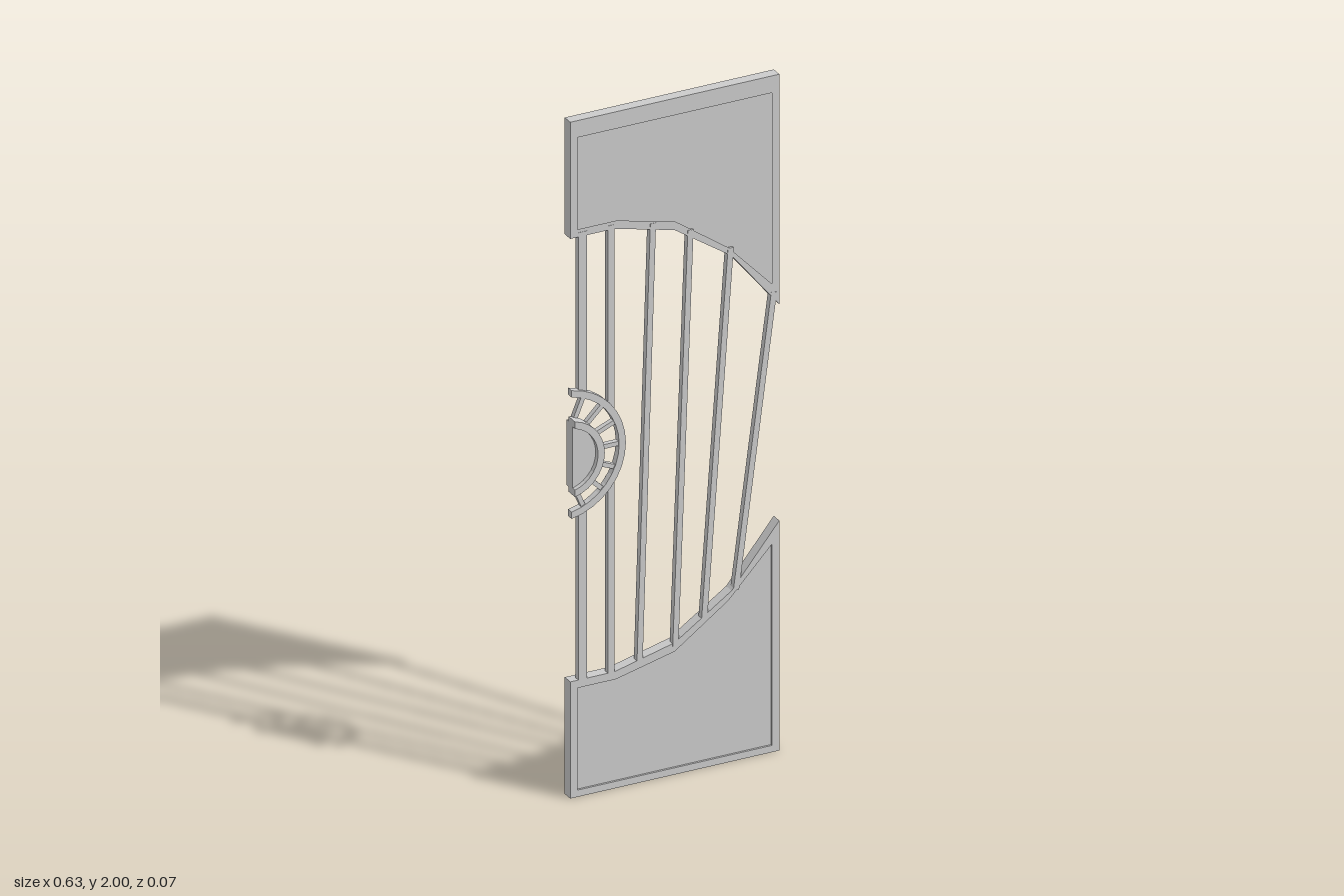
import * as THREE from 'three';

const material = new THREE.MeshStandardMaterial({ color: 0xcccccc, flatShading: true });
const HUB = { x: -0.342, y: 1.02 };
const EDGE = -0.312; // straight side the half-round fan is cut along

const points = (list) => list.map(([x, y]) => new THREE.Vector2(x, y));

// Extrude an outline, with optional holes, between two depths
function slab(name, outline, z0, z1, holes = []) {
  const shape = new THREE.Shape(points(outline));
  for (const hole of holes) shape.holes.push(new THREE.Path(points(hole)));
  const geometry = new THREE.ExtrudeGeometry(shape, { depth: z1 - z0, bevelEnabled: false });
  geometry.translate(0, 0, z0);
  const mesh = new THREE.Mesh(geometry, material);
  mesh.name = name;
  return mesh;
}

// Arc about the hub, ending where it meets the cut side
function arc(radius, cut, segments) {
  const end = Math.acos((cut - HUB.x) / radius);
  return Array.from({ length: segments + 1 }, (_, i) => {
    const a = -end + (2 * end * i) / segments;
    return [HUB.x + radius * Math.cos(a), HUB.y + radius * Math.sin(a)];
  });
}

const arcBand = (inner, outer, cut, segments) =>
  [...arc(outer, cut, segments), ...arc(inner, cut, segments).reverse()];

// Square bar between two points
function bar(name, [x0, y0], [x1, y1], width, z0, z1) {
  const length = Math.hypot(x1 - x0, y1 - y0);
  const mesh = new THREE.Mesh(new THREE.BoxGeometry(width, length, z1 - z0), material);
  mesh.position.set((x0 + x1) / 2, (y0 + y1) / 2, (z0 + z1) / 2);
  mesh.rotation.z = -Math.atan2(x1 - x0, y1 - y0);
  mesh.name = name;
  return mesh;
}

export function createModel() {
  const model = new THREE.Group();
  model.name = 'gatePanel';

  // Solid end panels: backing plate plus raised border
  const curve = [[0.312, 0.68], [0.17, 0.505], [0, 0.39], [-0.18, 0.345], [-0.312, 0.345]];
  const innerCurve = [[0.29, 0.615], [0.16, 0.478], [0, 0.364], [-0.175, 0.322], [-0.29, 0.322]];
  const outer = [[-0.312, 0], [0.312, 0], ...curve];
  const inner = (margin) => [[-0.29, margin], [0.29, margin], ...innerCurve];
  const flip = (list) => list.map(([x, y]) => [x, 2 - y]);
  model.add(
    slab('lowerPanel', outer, -0.035, -0.009),
    slab('lowerBorder', outer, -0.009, -0.003, [inner(0.02)]),
    slab('upperPanel', flip(outer), -0.035, -0.009),
    slab('upperBorder', flip(outer), -0.009, -0.003, [flip(inner(0.05))]),
  );

  // Upright bars, interrupted by the fan
  for (const [x, width, gap] of [[-0.275, 0.026, 0.172], [-0.19, 0.019, 0.1]]) {
    model.add(
      bar('lowerUpright', [x, 0.335], [x, HUB.y - gap], width, -0.02, -0.002),
      bar('upperUpright', [x, HUB.y + gap], [x, 1.668], width, -0.02, -0.002),
    );
  }

  // Slanting bars spreading towards the top
  const slants = [
    [-0.105, 0.352, -0.065, 1.645],
    [0.002, 0.38, 0.047, 1.6],
    [0.088, 0.44, 0.167, 1.52],
    [0.183, 0.505, 0.296, 1.36],
  ];
  for (const [x0, y0, x1, y1] of slants) {
    model.add(bar('slantedBar', [x0, y0], [x1, y1], 0.017, -0.02, -0.002));
  }

  // Half-round fan: ring, spokes and rimmed hub
  const fan = new THREE.Group();
  fan.name = 'fan';
  fan.add(
    slab('fanRing', arcBand(0.172, 0.192, EDGE, 16), -0.015, 0.005),
    slab('hubDisc', arc(0.1, -0.317, 14), -0.015, 0.02),
    slab('hubRim', arcBand(0.094, 0.114, -0.317, 14), -0.003, 0.034),
  );
  for (let i = -3; i <= 3; i++) {
    const a = (i * 22.5 * Math.PI) / 180;
    const at = (r) => [HUB.x + r * Math.cos(a), HUB.y + r * Math.sin(a)];
    fan.add(bar('fanSpoke', at(0.098), at(0.176), 0.013, -0.013, 0.002));
  }
  model.add(fan);

  return model;
}
